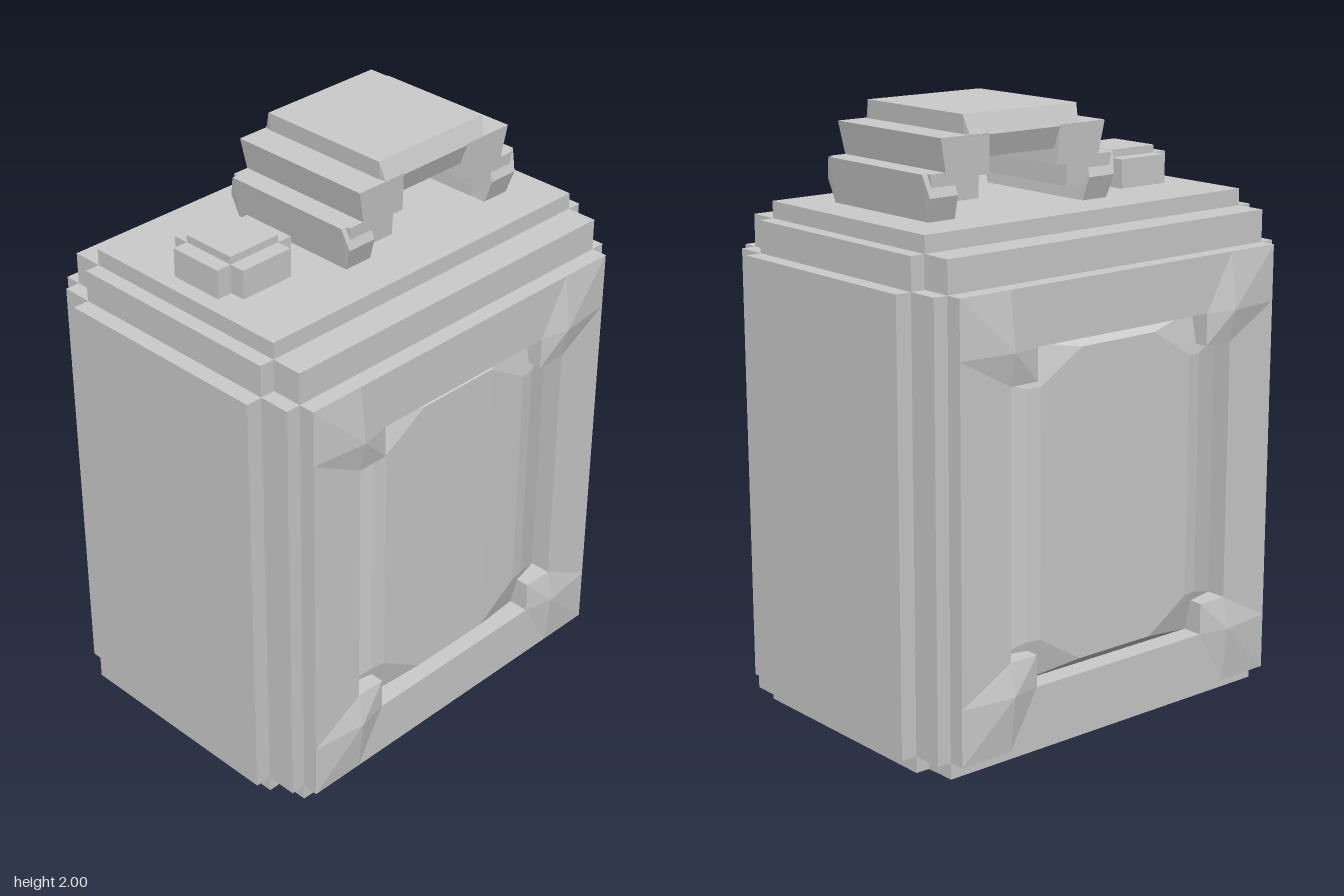
import * as THREE from 'three';
import { ConvexGeometry } from 'three/addons/geometries/ConvexGeometry.js';

const material = new THREE.MeshStandardMaterial({ color: 0xcccccc, flatShading: true });

function add(parent, name, geometry) {
  const mesh = new THREE.Mesh(geometry, material);
  mesh.name = name;
  parent.add(mesh);
  return mesh;
}

// Box given by half width, bottom, top and half depth
function slab(parent, name, hx, y0, y1, hz, x = 0) {
  const mesh = add(parent, name, new THREE.BoxGeometry(hx * 2, y1 - y0, hz * 2));
  mesh.position.set(x, (y0 + y1) / 2, 0);
}

// Raised frame with a stepped opening and bulged corners
function frameGeometry() {
  const xs = [-0.645, -0.455, -0.35, 0.35, 0.455, 0.645];
  const ys = [0.09, 0.275, 0.38, 1.24, 1.345, 1.53];
  const last = 4;
  const inside = (i, j) => i >= 0 && i <= last && j >= 0 && j <= last;
  const open = (i, j) => inside(i, j) &&
    ((i > 0 && i < last && j === 2) || (i === 2 && j > 0 && j < last));
  const front = ([i, j]) => {
    const bulge = (i === 1 || i === last) && (j === 1 || j === last);
    return [xs[i], ys[j], bulge ? 0.567 : 0.545];
  };
  const back = ([i, j]) => [xs[i], ys[j], 0.46];
  const pos = [];
  const quad = (a, b, c, d) => pos.push(...a, ...b, ...c, ...a, ...c, ...d);
  for (let i = 0; i <= last; i++) {
    for (let j = 0; j <= last; j++) {
      if (open(i, j)) continue;
      const c = [[i, j], [i + 1, j], [i + 1, j + 1], [i, j + 1]];
      // diagonals run from the bulges to the outer corners
      const f = c.map(front);
      if ((i < 2) === (j < 2)) quad(...f);
      else quad(f[1], f[2], f[3], f[0]);
      const next = [[i, j - 1], [i + 1, j], [i, j + 1], [i - 1, j]];
      next.forEach((n, k) => {
        if (inside(...n) && !open(...n)) return;
        const a = c[k], b = c[(k + 1) % 4];
        quad(front(a), back(a), back(b), front(b));
      });
    }
  }
  const g = new THREE.BufferGeometry();
  g.setAttribute('position', new THREE.Float32BufferAttribute(pos, 3));
  g.computeVertexNormals();
  return g;
}

// Shallow pad with sloping rims, sunk inside the frame opening
function padGeometry() {
  const mid = 0.81; // centre height of the opening
  const corners = [
    [0.455, 0.43, 0.42], [0.35, 0.535, 0.42],
    [0.455, 0.43, 0.475], [0.35, 0.535, 0.475],
    [0.36, 0.4, 0.504], [0.31, 0.4, 0.512], [0.15, 0.5, 0.516],
  ];
  const pts = [];
  for (const [x, y, z] of corners) {
    for (const sx of [-1, 1]) {
      for (const sy of [-1, 1]) pts.push(new THREE.Vector3(sx * x, mid + sy * y, z));
    }
  }
  return new ConvexGeometry(pts);
}

// Convex block through horizontal sections [x0, x1, y, half depth]
function blockGeometry(sections) {
  return new ConvexGeometry(sections.flatMap(([x0, x1, y, hz]) =>
    [x0, x1].flatMap(x => [-hz, hz].map(z => new THREE.Vector3(x, y, z)))));
}

// Stepped carrying handle, mirrored about its middle
function addHandle(parent) {
  const handle = new THREE.Group();
  handle.name = 'handle';
  handle.position.x = 0.155;
  parent.add(handle);
  add(handle, 'grip', blockGeometry([
    [-0.215, 0.215, 1.865, 0.232], [-0.215, 0.215, 1.935, 0.257], [-0.225, 0.225, 2, 0.235],
  ]));
  const steps = {
    upperStep: [[0.135, 0.3, 1.815, 0.25], [0.14, 0.325, 1.94, 0.257]],
    lowerStep: [[0.175, 0.35, 1.745, 0.245], [0.175, 0.36, 1.835, 0.25]],
    foot: [[0.255, 0.355, 1.68, 0.23], [0.262, 0.367, 1.765, 0.257], [0.27, 0.38, 1.835, 0.235]],
  };
  for (const [name, sections] of Object.entries(steps)) {
    add(handle, name, blockGeometry(sections));
    add(handle, name, blockGeometry(sections.map(([a, b, y, hz]) => [-b, -a, y, hz])));
  }
}

export function createModel() {
  const model = new THREE.Group();

  // Body: overlapping slabs giving stepped edges
  const body = new THREE.Group();
  body.name = 'body';
  model.add(body);
  slab(body, 'sideSlab', 0.75, 0.09, 1.53, 0.385);
  slab(body, 'coreSlab', 0.695, 0.09, 1.53, 0.46);
  // corner strips run out to the middle step, leaving the panels sunken
  for (const s of [-1, 1]) slab(body, 'cornerStrip', 0.05, 0.09, 1.53, 0.49, s * 0.645);
  slab(body, 'shoulderWide', 0.695, 0.035, 1.635, 0.385);
  for (const [y0, y1] of [[0.035, 0.2], [1.42, 1.635]]) {
    slab(body, 'shoulderDeep', 0.645, y0, y1, 0.49);
  }
  slab(body, 'topSlab', 0.645, 0.2, 1.69, 0.385);

  // Tapered underside
  add(body, 'underside', blockGeometry([
    [-0.645, 0.645, 0.038, 0.49], [-0.64, 0.64, 0.028, 0.385], [-0.46, 0.46, 0, 0.385],
  ]));

  // Front and back panels
  const frame = frameGeometry(), pad = padGeometry();
  for (const [name, turn] of [['frontPanel', 0], ['backPanel', Math.PI]]) {
    const panel = new THREE.Group();
    panel.name = name;
    panel.rotation.y = turn;
    add(panel, 'frame', frame);
    add(panel, 'pad', pad);
    model.add(panel);
  }

  addHandle(model);

  // Filler cap
  const cap = new THREE.Group();
  cap.name = 'cap';
  model.add(cap);
  slab(cap, 'capWide', 0.147, 1.68, 1.785, 0.095, -0.443);
  slab(cap, 'capDeep', 0.095, 1.68, 1.785, 0.148, -0.443);
  slab(cap, 'capTop', 0.095, 1.7, 1.81, 0.095, -0.443);

  return model;
}
